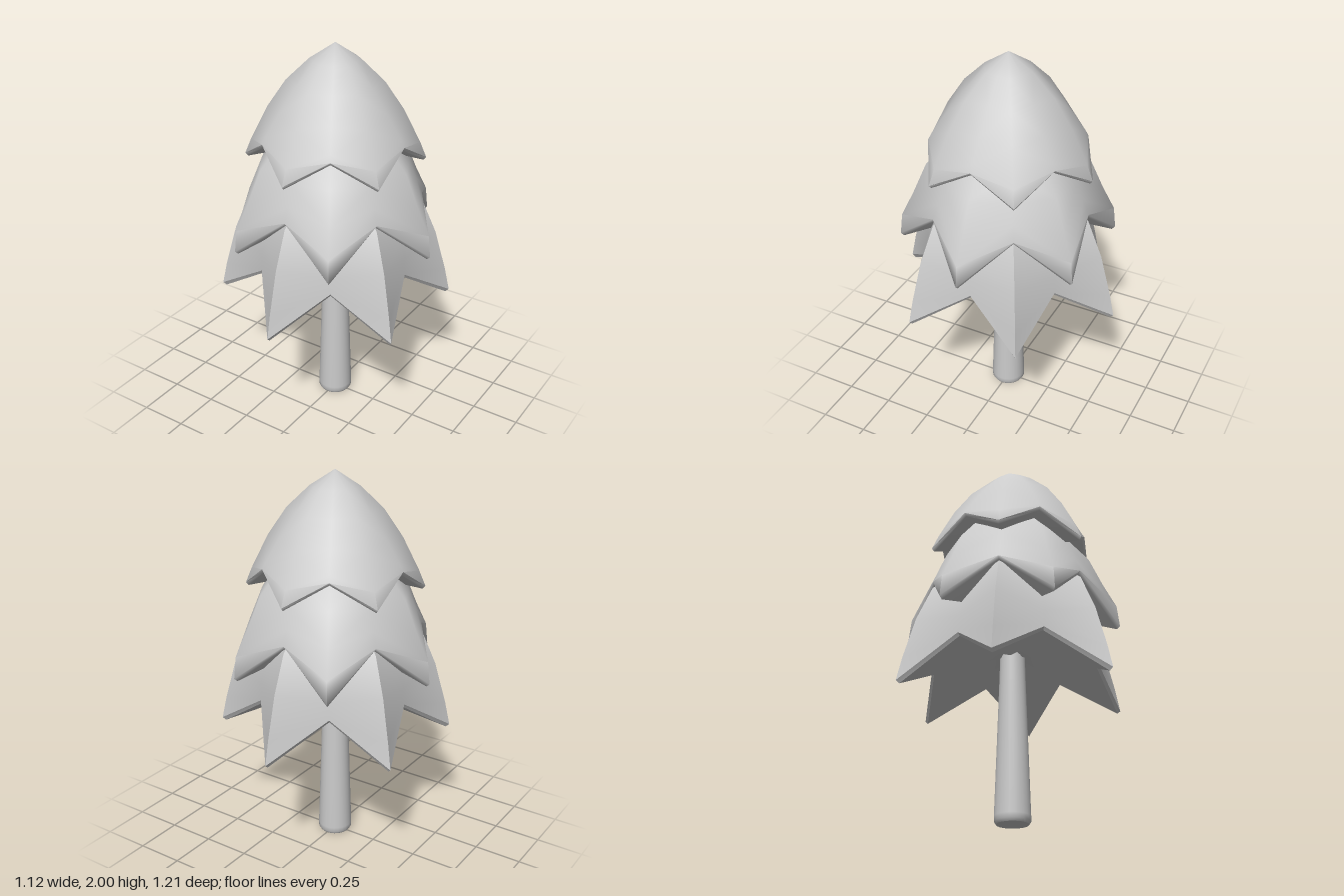
import * as THREE from 'three';
import { toCreasedNormals } from 'three/addons/utils/BufferGeometryUtils.js';

const material = new THREE.MeshStandardMaterial({ color: 0xcccccc });

// Six-pointed skirt of foliage: [radius, height] profiles run from rim to apex,
// one along the tips and one along the notches between them.
function makeTier(name, tips, notches, turn, underY, crease) {
  const inset = ([r, y]) => [r * 0.97, y - 0.015];
  const rows = (profile) => [[0, underY], inset(profile[0]), ...profile];
  const tipRows = rows(tips), notchRows = rows(notches);

  const point = (i, j) => {
    const [r, y] = (i % 2 ? notchRows : tipRows)[j];
    const a = turn + (i % 12) * Math.PI / 6;
    return new THREE.Vector3(r * Math.sin(a), y, r * Math.cos(a));
  };

  const positions = [];
  const triangle = (a, b, c) => {
    if (a.distanceTo(b) < 1e-6 || b.distanceTo(c) < 1e-6 || c.distanceTo(a) < 1e-6) return;
    for (const p of [a, b, c]) positions.push(p.x, p.y, p.z);
  };

  for (let j = 0; j < tipRows.length - 1; j++) {
    for (let i = 0; i < 12; i++) {
      const a = point(i, j), b = point(i + 1, j);
      const c = point(i + 1, j + 1), d = point(i, j + 1);
      // Mirrored diagonals keep both halves of each tip symmetrical
      if (i % 2) { triangle(a, b, c); triangle(a, c, d); }
      else { triangle(a, b, d); triangle(b, c, d); }
    }
  }

  const geometry = new THREE.BufferGeometry();
  geometry.setAttribute('position', new THREE.Float32BufferAttribute(positions, 3));
  const mesh = new THREE.Mesh(toCreasedNormals(geometry, crease), material);
  mesh.name = name;
  return mesh;
}

export function createModel() {
  const tree = new THREE.Group();
  tree.name = 'tree';

  // Tapered trunk with a small bevel at the foot
  const trunkProfile = [[0, 0], [0.08, 0], [0.09, 0.015], [0.09, 0.04], [0.068, 0.72], [0.06, 1.0], [0, 1.0]]
    .map(([r, y]) => new THREE.Vector2(r, y));
  const trunk = new THREE.Mesh(
    toCreasedNormals(new THREE.LatheGeometry(trunkProfile, 24), 0.7), material);
  trunk.name = 'trunk';
  tree.add(trunk);

  // Foliage, bottom to top; the middle tier is turned half a step
  tree.add(makeTier('lowerFoliage',
    [[0.607, 0.655], [0.58, 0.78], [0.52, 1.0], [0.44, 1.19], [0.25, 1.35], [0, 1.42]],
    [[0.42, 0.86], [0.415, 0.95], [0.395, 1.05], [0.35, 1.2], [0.22, 1.33], [0, 1.42]],
    0, 0.88, 0.55));

  tree.add(makeTier('middleFoliage',
    [[0.558, 1.005], [0.545, 1.12], [0.48, 1.25], [0.41, 1.41], [0.25, 1.6], [0, 1.7]],
    [[0.44, 1.225], [0.41, 1.3], [0.37, 1.4], [0.29, 1.52], [0.2, 1.62], [0, 1.7]],
    Math.PI / 6, 1.15, 1.1));

  tree.add(makeTier('upperFoliage',
    [[0.453, 1.42], [0.42, 1.5], [0.335, 1.67], [0.24, 1.81], [0.125, 1.92], [0, 2]],
    [[0.392, 1.55], [0.375, 1.58], [0.3, 1.69], [0.21, 1.81], [0.115, 1.92], [0, 2]],
    0, 1.5, 1.1));

  return tree;
}
